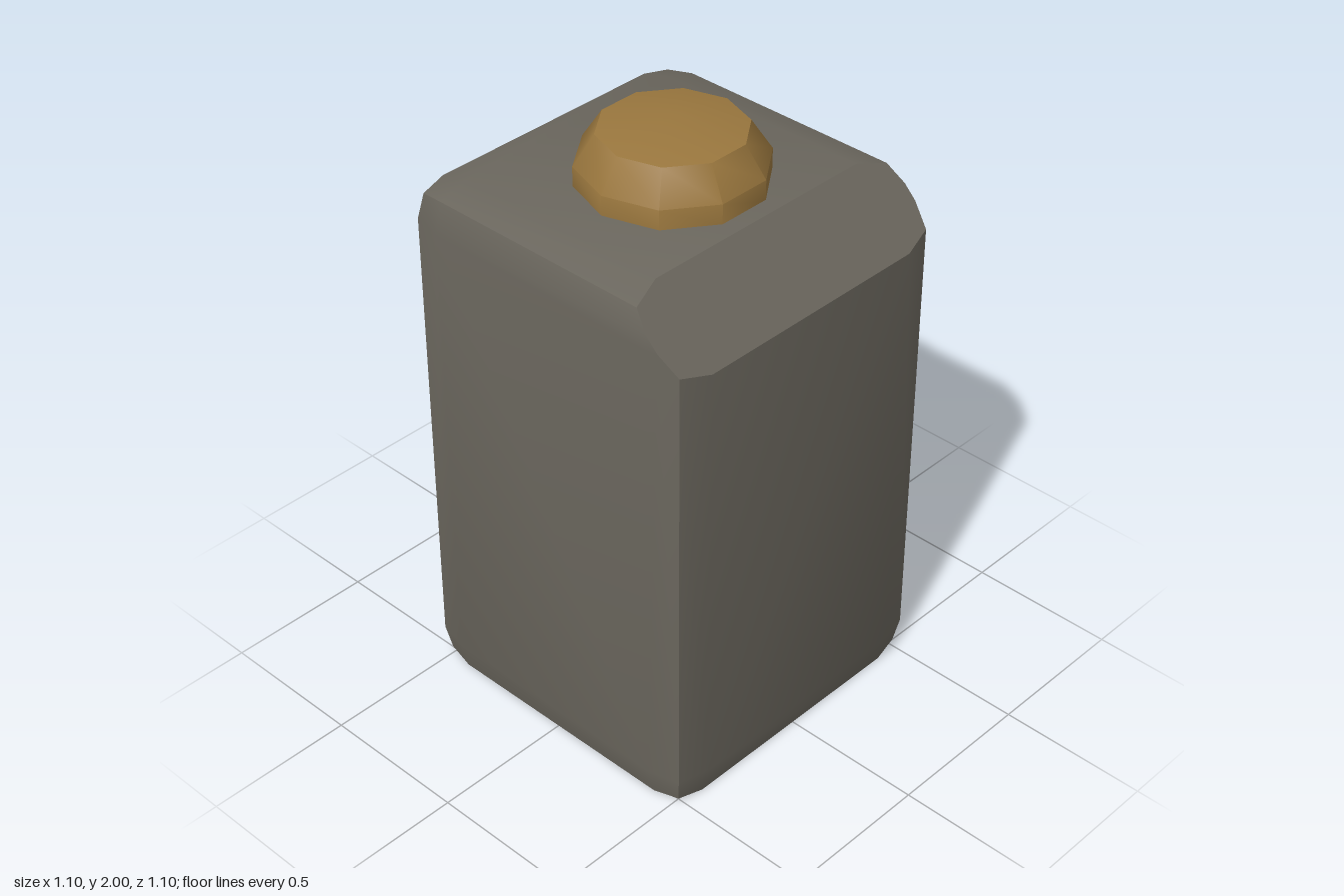
import * as THREE from 'three';
import { ConvexGeometry } from 'three/addons/geometries/ConvexGeometry.js';
import { toCreasedNormals } from 'three/addons/utils/BufferGeometryUtils.js';

// Softly bevelled box, chamfered at its upper front edge and open underneath
function bodyGeometry() {
  const points = [];
  const add = (x, y, z) => points.push(new THREE.Vector3(x, y, z));
  for (const sx of [-1, 1]) {
    for (const sz of [-1, 1]) {
      const rounded = [
        [0.42, 1.795, 0.42],
        [0.42, 1.765, 0.525], [0.525, 1.765, 0.42], [0.51, 1.75, 0.51],
        [0.42, 0, 0.525], [0.525, 0, 0.42], [0.51, 0.015, 0.51],
      ];
      for (const y of [0.1, 1.665]) {
        rounded.push([0.55, y, 0.42], [0.42, y, 0.55], [0.525, y, 0.525]);
      }
      for (const [x, y, z] of rounded) {
        if (y + z * sz < 2.13) add(x * sx, y, z * sz);
      }
    }
    // Outline of the chamfer, on the plane y + z = 2.13
    for (const [x, y] of [[0.42, 1.795], [0.525, 1.765], [0.546, 1.71],
      [0.546, 1.668], [0.525, 1.605], [0.42, 1.58]]) add(x * sx, y, 2.13 - y);
  }
  // Leave out the underside
  const hull = new ConvexGeometry(points).getAttribute('position').array;
  const kept = [];
  for (let i = 0; i < hull.length; i += 9) {
    if (Math.max(hull[i + 1], hull[i + 4], hull[i + 7]) > 0.05) {
      kept.push(...hull.slice(i, i + 9));
    }
  }
  const geometry = new THREE.BufferGeometry();
  geometry.setAttribute('position', new THREE.Float32BufferAttribute(kept, 3));
  return toCreasedNormals(geometry, 0.6);
}

export function createModel() {
  const stone = new THREE.MeshStandardMaterial({ color: 0x6b675e, side: THREE.DoubleSide });
  stone.name = 'grey stone';
  const brass = new THREE.MeshStandardMaterial({ color: 0x9a773e, side: THREE.DoubleSide });
  brass.name = 'brass';

  const model = new THREE.Group();
  model.name = 'cappedBlock';

  const body = new THREE.Mesh(bodyGeometry(), stone);
  body.name = 'body';

  // Ten-sided cap with a shallow pointed top
  const profile = [[0.293, 1.79], [0.293, 1.86], [0.228, 1.96], [0, 2]]
    .map(([r, y]) => new THREE.Vector2(r, y));
  const lathe = new THREE.LatheGeometry(profile, 10, Math.PI / 2);
  const cap = new THREE.Mesh(toCreasedNormals(lathe, 0.75), brass);
  cap.name = 'cap';

  model.add(body, cap);
  return model;
}
